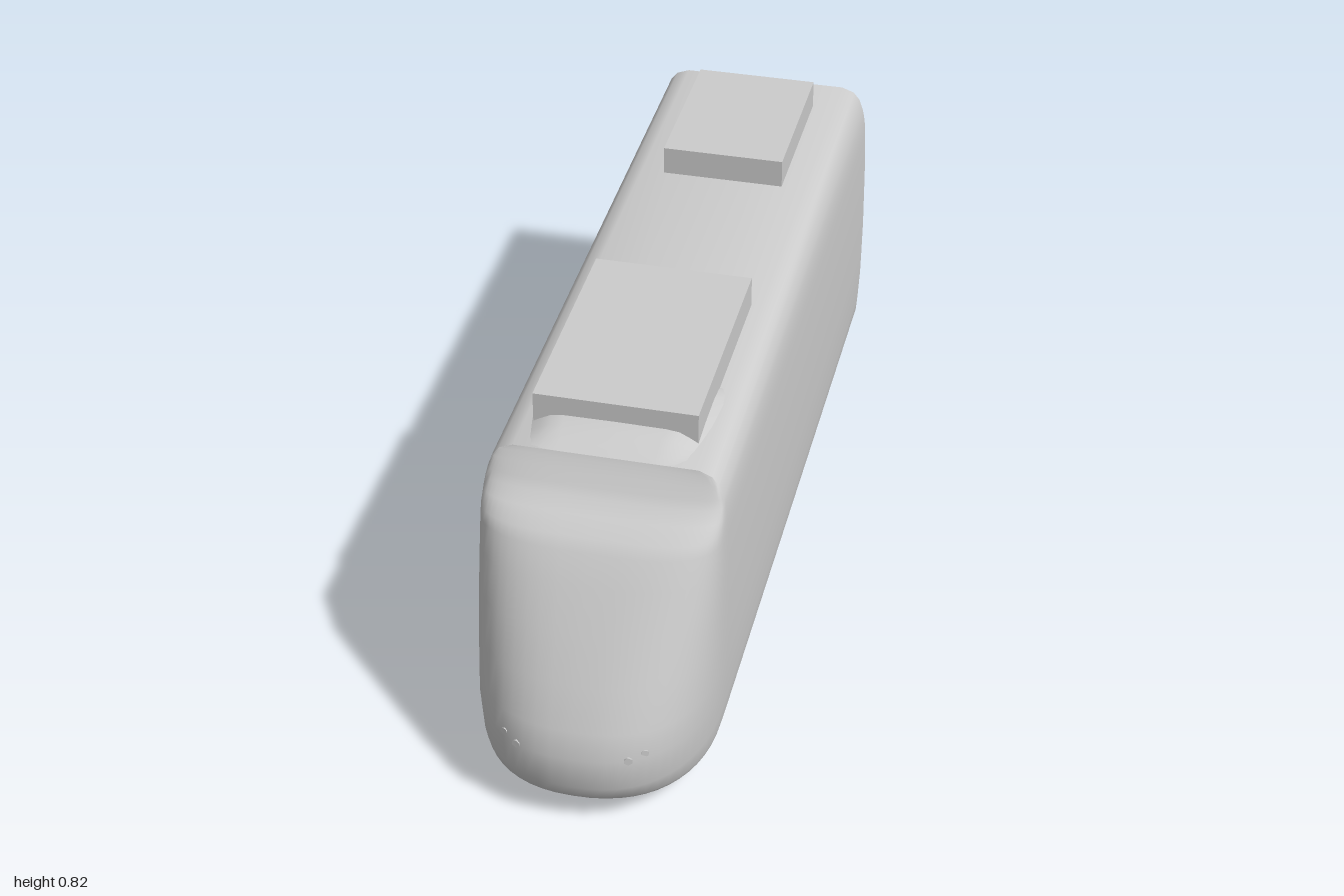
import * as THREE from 'three';
import { toCreasedNormals } from 'three/addons/utils/BufferGeometryUtils.js';

const NOSE_START = 0.66, REAR = -1;

// Horizontal slices of the shell: height, half width, nose tip z, roundness exponent
const LEVELS = [
  [0.06, 0.255, 0.96, 2.3],
  [0.08, 0.26, 0.982, 2.3],
  [0.12, 0.263, 0.998, 2.35],
  [0.2, 0.267, 1.0, 2.4],
  [0.26, 0.268, 0.98, 2.45],
  [0.35, 0.269, 0.938, 2.55],
  [0.45, 0.268, 0.888, 2.7],
  [0.54, 0.267, 0.838, 2.9],
  [0.6, 0.265, 0.803, 3.1],
  [0.625, 0.264, 0.783, 3.3],
  [0.65, 0.262, 0.74, 3.5],
  [0.672, 0.259, 0.708, 3.5],
  [0.69, 0.255, 0.694, 3.5],
  [0.718, 0.245, 0.677, 3.5],
  [0.736, 0.23, 0.665, 3.5],
  [0.747, 0.2, NOSE_START, 3.5],
  [0.747, 0, NOSE_START, 3.5],
];

// Plan outline of one slice, from the rear +x corner round the nose to the rear -x corner
function outline([y, half, tip, n], steps = 28) {
  const pts = [new THREE.Vector3(half, y, REAR)];
  for (let i = 0; i <= steps; i++) {
    const a = Math.PI / 2 - (Math.PI * i) / steps;
    const s = Math.sin(a), c = Math.max(0, Math.cos(a));
    const x = half * Math.sign(s) * Math.abs(s) ** (2 / n);
    const z = NOSE_START + (tip - NOSE_START) * (c < 1e-6 ? 0 : c ** (2 / n));
    pts.push(new THREE.Vector3(x, y, z));
  }
  pts.push(new THREE.Vector3(-half, y, REAR));
  return pts;
}

// Skin over equally long rows of points
function loft(rows, crease) {
  const index = [], w = rows[0].length;
  for (let j = 0; j < rows.length - 1; j++) {
    for (let k = 0; k < w - 1; k++) {
      const a = j * w + k, b = a + 1, c = a + w, d = c + 1;
      index.push(a, c, b, b, c, d);
    }
  }
  const geo = new THREE.BufferGeometry().setFromPoints(rows.flat());
  geo.setIndex(index);
  return toCreasedNormals(geo, crease);
}

export function createModel() {
  const model = new THREE.Group();
  model.name = 'railcar';
  const paint = new THREE.MeshStandardMaterial({ color: 0xcccccc });
  paint.name = 'light grey';

  const add = (name, geo, x = 0, y = 0, z = 0) => {
    const mesh = new THREE.Mesh(geo, paint);
    mesh.name = name;
    mesh.position.set(x, y, z);
    model.add(mesh);
    return mesh;
  };

  // Sides, nose and roof in one skin
  add('bodyShell', loft(LEVELS.map((l) => outline(l)), 0.78));

  // Floor
  const floor = outline(LEVELS[0]).map((p) => new THREE.Vector2(p.x, p.z));
  add('floor', new THREE.ShapeGeometry(new THREE.Shape(floor)).rotateX(Math.PI / 2), 0, 0.06, 0);

  // Flat rear wall
  const walls = LEVELS.slice(0, -1);
  const rear = [
    ...walls.map(([y, half]) => new THREE.Vector2(half, y)),
    ...walls.map(([y, half]) => new THREE.Vector2(-half, y)).reverse(),
  ];
  add('rearWall', new THREE.ShapeGeometry(new THREE.Shape(rear)).rotateY(Math.PI), 0, 0, REAR);

  // Low fairing on the roof: z, half width, height
  const fairing = [
    [0.66, 0.165, 0.002], [0.63, 0.175, 0.016], [0.6, 0.18, 0.026], [0.565, 0.187, 0.031],
    [0.5, 0.198, 0.031], [0.42, 0.204, 0.028], [0.38, 0.2, 0.02], [0.355, 0.19, 0.001],
  ].map(([z, half, h]) =>
    [[1, 0], [0.88, 0.45], [0.75, 0.85], [0.6, 0.97], [0, 1], [-0.6, 0.97], [-0.75, 0.85], [-0.88, 0.45], [-1, 0]]
      .map(([u, v]) => new THREE.Vector3(u * half, 0.745 + v * h, z)));
  add('roofFairing', loft(fairing, 0.7));

  // Roof equipment boxes
  add('frontRoofBox', new THREE.BoxGeometry(0.36, 0.072, 0.54), 0, 0.784, 0.3);
  add('rearRoofBox', new THREE.BoxGeometry(0.29, 0.072, 0.4), 0, 0.779, -0.69);

  for (const side of [-1, 1]) {
    // Wheels, half hidden by the floor
    for (const z of [0.013, -0.395]) {
      const wheel = new THREE.CylinderGeometry(0.062, 0.062, 0.022, 8).rotateZ(Math.PI / 2);
      add('wheel', toCreasedNormals(wheel, 0.9), side * 0.17, 0.062, z);
    }
    // Small lamps set flush into the nose
    const lamp = new THREE.CylinderGeometry(0.01, 0.01, 0.02, 6).rotateX(Math.PI / 2);
    add('headlamp', lamp, side * 0.12, 0.2, 0.969).rotation.y = side * 0.3;
    const marker = new THREE.CylinderGeometry(0.009, 0.009, 0.02, 8).rotateX(Math.PI / 2);
    add('markerLamp', marker, side * 0.15, 0.21, 0.948).rotation.y = side * 0.45;
  }
  return model;
}
